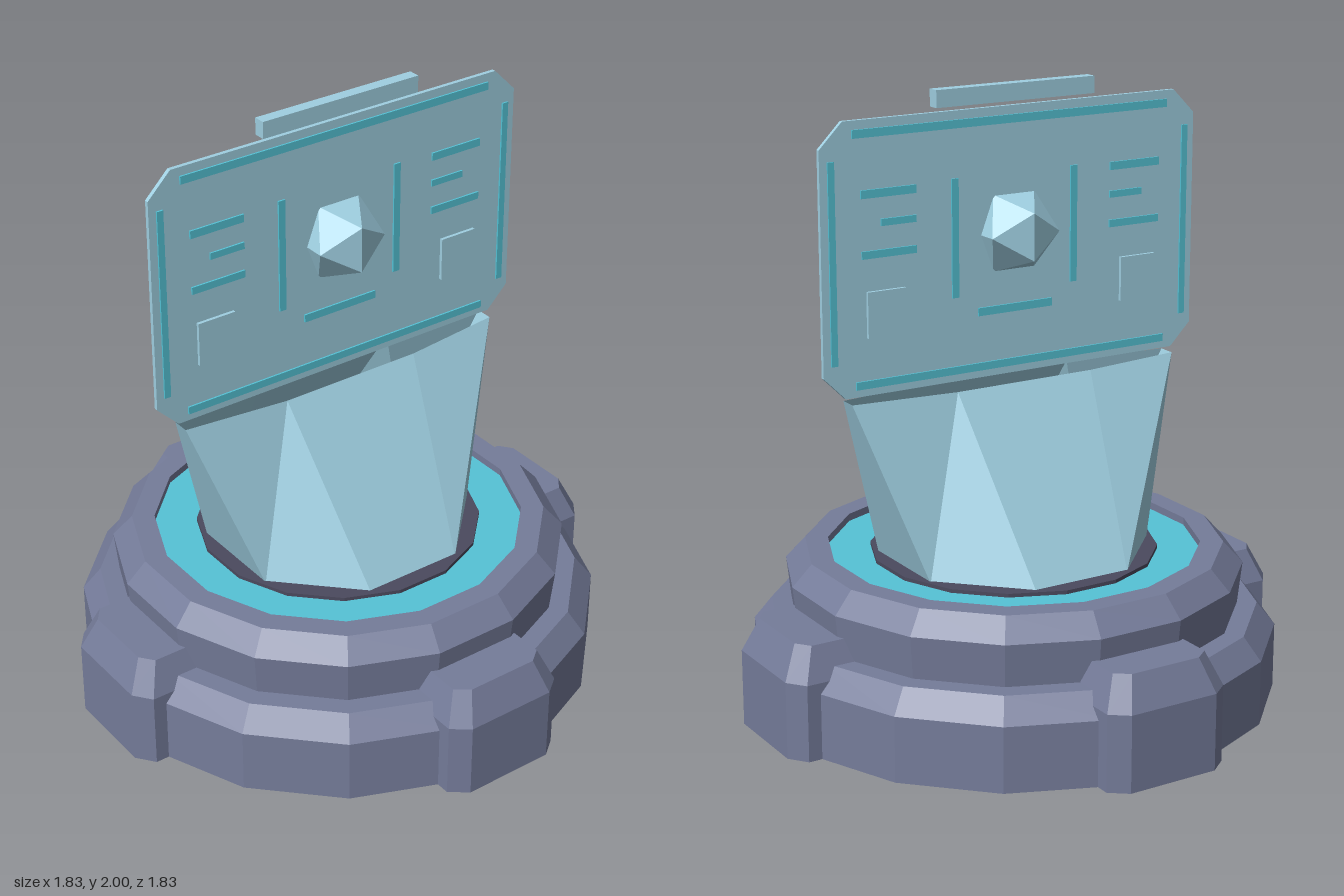
import * as THREE from 'three';

const flat = (name, color, double) => {
  const m = new THREE.MeshStandardMaterial({ color, flatShading: true });
  m.name = name;
  if (double) m.side = THREE.DoubleSide;
  return m;
};

export function createModel() {
  const model = new THREE.Group();
  model.name = 'hologramProjector';
  const stone = flat('slate metal', 0x757c9a);
  const dark = flat('dark emitter', 0x4b4a5e);
  const cyan = flat('cyan glow', 0x55c3d6);
  const holo = flat('pale hologram', 0x9fcfe1, true);

  const add = (parent, name, geometry, material, x = 0, y = 0, z = 0) => {
    const mesh = new THREE.Mesh(geometry, material);
    mesh.name = name;
    mesh.position.set(x, y, z);
    parent.add(mesh);
    return mesh;
  };

  // Sixteen-sided revolved part with its flats on the axes
  const SIDES = 16;
  const lathe = (points) => {
    const g = new THREE.LatheGeometry(points.map(([r, y]) => new THREE.Vector2(r, y)), SIDES);
    return g.rotateY(Math.PI / SIDES);
  };

  // Stepped base, open in the middle for the recessed emitter
  const base = new THREE.Group();
  base.name = 'base';
  model.add(base);
  add(base, 'steppedBody', lathe([
    [0, 0], [0.86, 0], [0.86, 0.215], [0.80, 0.29], [0.735, 0.29],
    [0.75, 0.43], [0.685, 0.5], [0.61, 0.5], [0.61, 0.46],
  ]), stone);
  add(base, 'glowRing', lathe([[0.62, 0.475], [0.46, 0.475]]), cyan);
  add(base, 'emitterDisc', lathe([[0.47, 0.46], [0.47, 0.487], [0, 0.487]]), dark);

  // Chamfered buttress: stacked outlines joined by walls and closed by caps
  const outline = (w, c, out, y) => [
    [-w, y, 0.7], [-w, y, out - c], [-w + c * 1.3, y, out],
    [w - c * 1.3, y, out], [w, y, out - c], [w, y, 0.7],
  ];
  const loft = (rings) => {
    const pos = [];
    const n = rings[0].length;
    const tri = (...corners) => corners.forEach((p) => pos.push(...p));
    for (let r = 0; r < rings.length - 1; r++) {
      for (let i = 0; i < n; i++) {
        const j = (i + 1) % n;
        const [a, b, c, d] = [rings[r][i], rings[r][j], rings[r + 1][j], rings[r + 1][i]];
        tri(a, b, c);
        tri(a, c, d);
      }
    }
    const top = rings[rings.length - 1];
    for (let i = 1; i < n - 1; i++) {
      tri(top[0], top[i], top[i + 1]);
      tri(rings[0][0], rings[0][i + 1], rings[0][i]);
    }
    const g = new THREE.BufferGeometry();
    g.setAttribute('position', new THREE.Float32BufferAttribute(pos, 3));
    g.computeVertexNormals();
    return g;
  };
  const buttress = loft([
    outline(0.213, 0.045, 0.915, 0),
    outline(0.213, 0.045, 0.915, 0.252),
    outline(0.168, 0.035, 0.865, 0.36),
  ]);
  for (let i = 0; i < 4; i++) {
    add(base, 'buttress', buttress, stone).rotation.y = i * Math.PI / 2;
  }

  // Light beam: octagonal tube squeezed into a wide slot at the top
  const beam = new THREE.CylinderGeometry(0.444, 0.444, 0.575, 8, 1, true);
  beam.rotateY(Math.PI / 8);
  const p = beam.attributes.position;
  for (let i = 0; i < p.count; i++) {
    if (p.getY(i) > 0) {
      p.setX(i, p.getX(i) * 0.65 / 0.444);
      p.setZ(i, p.getZ(i) * 0.077 / 0.444);
    }
  }
  beam.computeVertexNormals();
  add(model, 'lightBeam', beam, holo, 0, 0.7675, 0);

  // Floating screen with clipped corners
  const screen = new THREE.Group();
  screen.name = 'screen';
  model.add(screen);
  const shape = new THREE.Shape([
    [-0.61, 1.07], [0.61, 1.07], [0.685, 1.145], [0.685, 1.85],
    [0.605, 1.93], [-0.605, 1.93], [-0.685, 1.85], [-0.685, 1.145],
  ].map(([x, y]) => new THREE.Vector2(x, y)));
  const panel = new THREE.ExtrudeGeometry(shape, { depth: 0.014, bevelEnabled: false });
  add(screen, 'panel', panel, holo, 0, 0, -0.007);

  // Boxes through the panel show on both faces
  const plate = (name, x0, x1, y0, y1, depth, material) =>
    add(screen, name, new THREE.BoxGeometry(x1 - x0, y1 - y0, depth), material,
      (x0 + x1) / 2, (y0 + y1) / 2, 0);
  plate('topBar', -0.288, 0.288, 1.945, 2, 0.04, holo);
  plate('topStrip', -0.575, 0.575, 1.876, 1.902, 0.026, cyan);
  plate('bottomStrip', -0.575, 0.575, 1.094, 1.119, 0.026, cyan);
  plate('captionStrip', -0.137, 0.137, 1.272, 1.298, 0.026, cyan);

  const strips = [
    ['edgeStrip', 0.637, 0.659, 1.18, 1.812],
    ['dividerStrip', 0.207, 0.231, 1.342, 1.72],
    ['upperLine', 0.357, 0.548, 1.69, 1.716],
    ['middleLine', 0.357, 0.48, 1.6, 1.622],
    ['lowerLine', 0.357, 0.548, 1.503, 1.527],
  ];
  for (const s of [-1, 1]) {
    const mirrored = (name, a, b, y0, y1, depth, material) =>
      plate(name, Math.min(s * a, s * b), Math.max(s * a, s * b), y0, y1, depth, material);
    for (const strip of strips) mirrored(...strip, 0.026, cyan);
    mirrored('squareTile', 0.4, 0.533, 1.254, 1.4, 0.036, holo);
  }

  // Faceted gem in the middle of the screen
  add(screen, 'gem', new THREE.IcosahedronGeometry(0.145, 0), holo, 0, 1.53, 0);

  return model;
}
